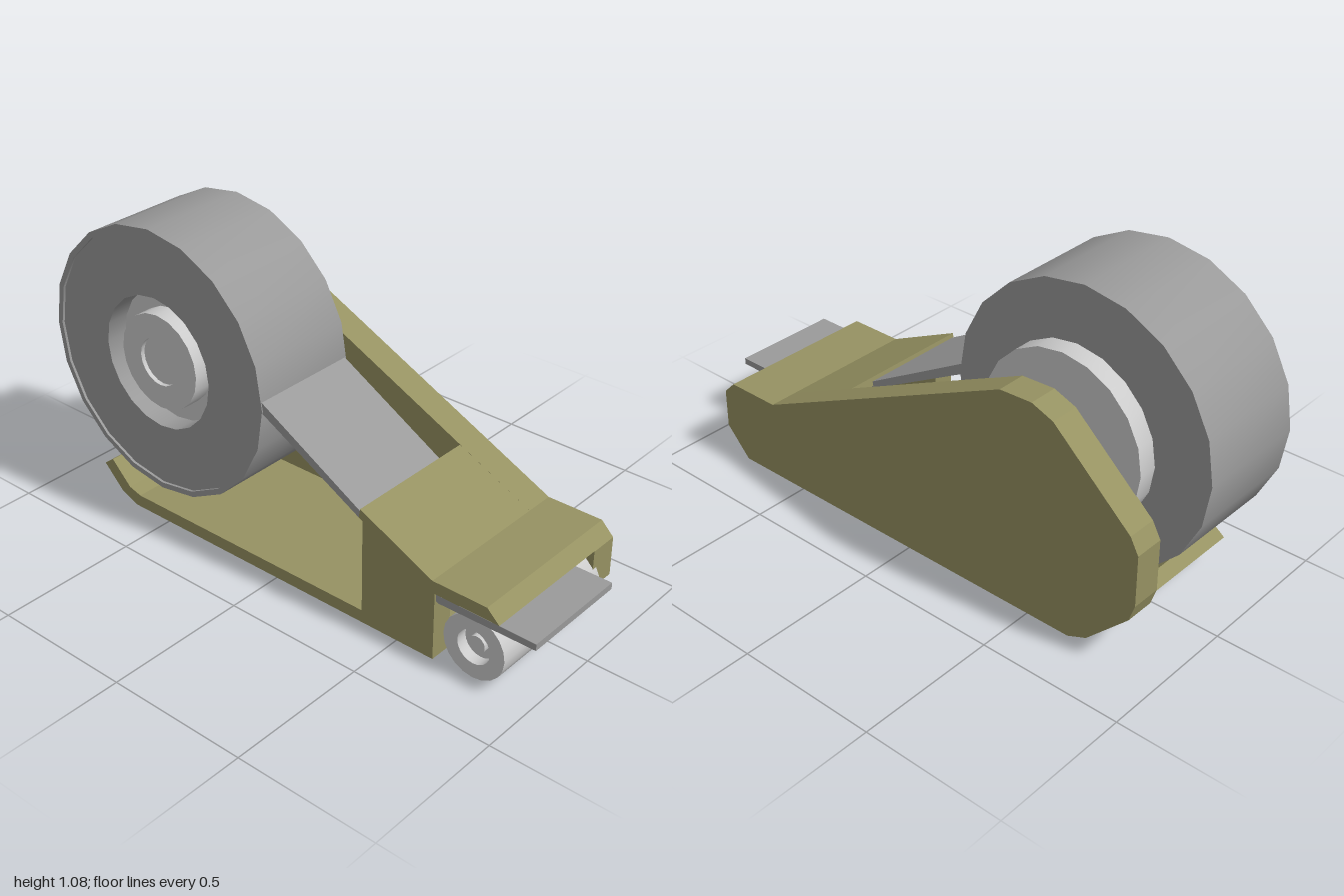
import * as THREE from 'three';
import { toCreasedNormals } from 'three/addons/utils/BufferGeometryUtils.js';

const olive = new THREE.MeshStandardMaterial({ color: 0x969262 });
const light = new THREE.MeshStandardMaterial({ color: 0xcccccc });
const dark = new THREE.MeshStandardMaterial({ color: 0x9a9a9a });

export function createModel() {
  const model = new THREE.Group();

  const add = (name, geometry, material) => {
    const mesh = new THREE.Mesh(geometry, material);
    mesh.name = name;
    model.add(mesh);
    return mesh;
  };

  // Side profile of [z, y] points, extruded across x from x0 to x1
  const slab = (name, x0, x1, points, material) => {
    const shape = new THREE.Shape(points.map(([z, y]) => new THREE.Vector2(-z, y)));
    const geometry = new THREE.ExtrudeGeometry(shape, { depth: x1 - x0, bevelEnabled: false });
    geometry.rotateY(Math.PI / 2).translate(x0, 0, 0);
    return add(name, geometry, material);
  };

  // Turned part about an x axis through (y, z); the profile is [radius, x] points
  const turned = (name, y, z, points, material, sides = 20) => {
    const profile = points.map(([r, x]) => new THREE.Vector2(r, x));
    const geometry = new THREE.LatheGeometry(profile, sides).rotateZ(-Math.PI / 2);
    const mesh = add(name, toCreasedNormals(geometry, 0.6), material);
    mesh.position.set(0, y, z);
    return mesh;
  };

  // Frame: tall side wall, base with upturned rear lip, front hood and its post
  slab('sideWall', 0.195, 0.3, [
    [0.78, 0], [0.875, 0.1], [0.875, 0.24], [0.83, 0.285], [0.63, 0.285],
    [-0.38, 0.76], [-0.5, 0.765], [-0.58, 0.735], [-0.87, 0.475], [-0.9, 0.42],
    [-0.9, 0.24], [-0.88, 0.18], [-0.73, 0.03], [-0.66, 0],
  ], olive);
  slab('base', -0.3, 0.2, [
    [0.64, 0], [0.64, 0.045], [-0.64, 0.045], [-0.69, 0.06], [-0.77, 0.14],
    [-0.81, 0.11], [-0.73, 0.03], [-0.66, 0],
  ], olive);
  slab('hood', -0.3, 0.2, [
    [0.875, 0.242], [0.83, 0.285], [0.63, 0.285], [0.35, 0.416], [0.345, 0.385], [0.62, 0.242],
  ], olive);
  slab('hoodPost', -0.3, -0.22, [
    [0.64, 0.02], [0.64, 0.26], [0.36, 0.4], [0.36, 0.02],
  ], olive);

  // Tape roll with a shallow rim and an open centre on its outer face
  const rollY = 0.6, rollZ = -0.525;
  turned('tapeRoll', rollY, rollZ, [
    [0.235, -0.288], [0.455, -0.288], [0.455, -0.297], [0.475, -0.297],
    [0.475, 0.105], [0.235, 0.105], [0.235, -0.288],
  ], dark);

  // Hub: recessed core, sleeve and the flange against the wall
  turned('hub', rollY, rollZ, [
    [0, -0.265], [0.085, -0.265], [0.085, -0.28], [0.17, -0.28], [0.17, -0.21],
    [0.235, -0.21], [0.235, 0.1], [0.15, 0.1], [0.15, 0.13], [0.295, 0.13],
    [0.295, 0.197], [0, 0.197],
  ], light);

  // Tape strip running from the roll under the hood and out at the front
  slab('tapeStrip', -0.293, 0.1, [
    [-0.065, 0.635], [0.35, 0.4], [0.66, 0.235], [1, 0.235],
    [1, 0.212], [0.65, 0.208], [0.34, 0.378], [-0.07, 0.6],
  ], dark);

  // Front roller with a stepped recess around its axle
  turned('roller', 0.112, 0.782, [
    [0, -0.275], [0.03, -0.275], [0.03, -0.25], [0.06, -0.25], [0.06, -0.29],
    [0.112, -0.29], [0.112, 0.213], [0, 0.213],
  ], light);

  return model;
}
